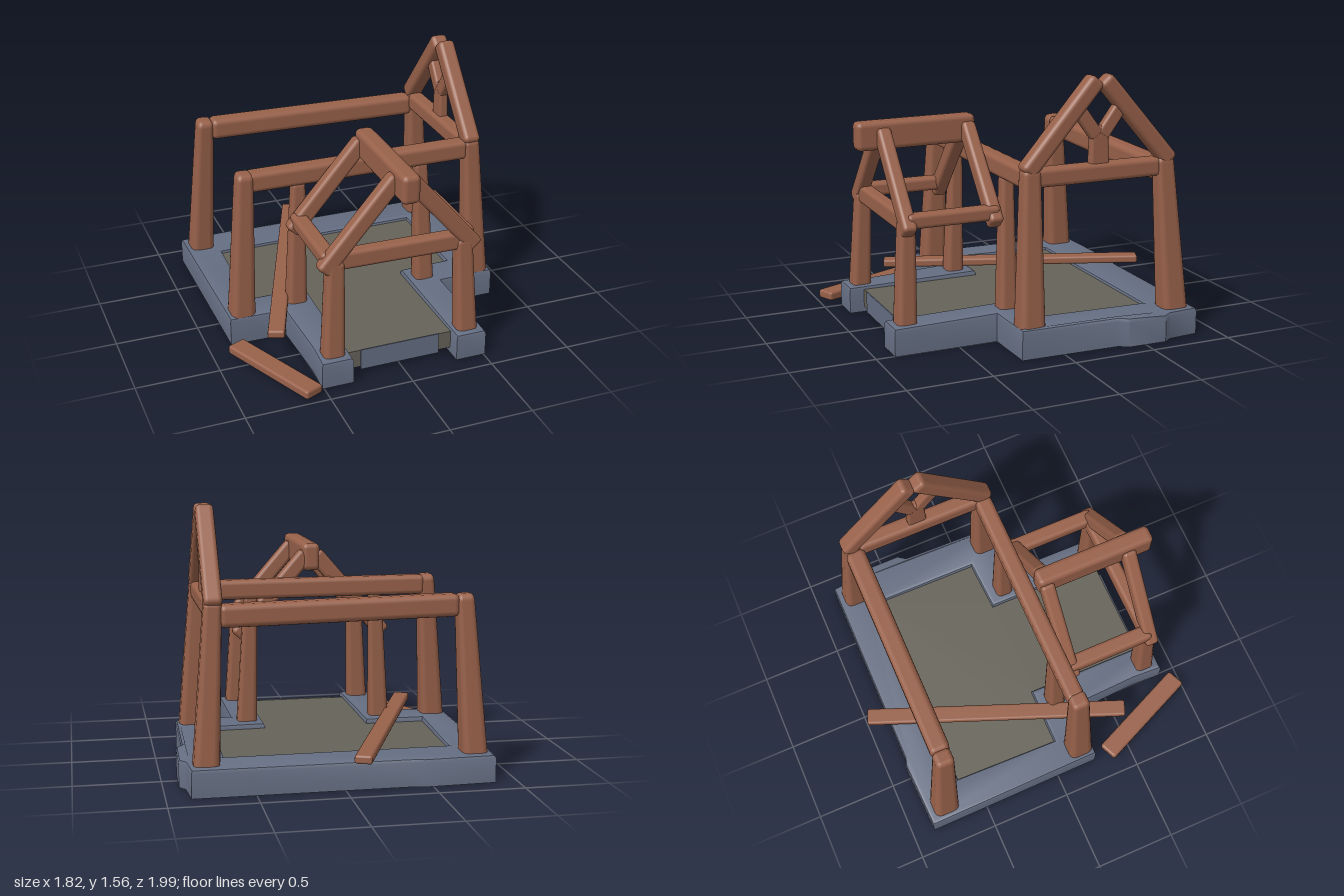
import * as THREE from 'three';
import { toCreasedNormals } from 'three/addons/utils/BufferGeometryUtils.js';
import { RoundedBoxGeometry } from 'three/addons/geometries/RoundedBoxGeometry.js';

const wood = new THREE.MeshStandardMaterial({ color: 0x98614a });
const stone = new THREE.MeshStandardMaterial({ color: 0x656e82, side: THREE.DoubleSide });
const earth = new THREE.MeshStandardMaterial({ color: 0x656258, side: THREE.DoubleSide });
wood.name = 'wood';
stone.name = 'stone';
earth.name = 'earth';

const Z = [0, 0, 1], X = [1, 0, 0], Y = [0, 1, 0];

export function createModel() {
  const model = new THREE.Group();
  model.name = 'houseFrame';

  const add = (name, geometry, material) => {
    const mesh = new THREE.Mesh(geometry, material);
    mesh.name = name;
    model.add(mesh);
    return mesh;
  };

  // Rounded timber from a to b; depth lies along the depthAxis, taper scales the far end
  const beam = (name, a, b, width, depth, depthAxis = Z, taper = 1) => {
    const start = new THREE.Vector3(...a), end = new THREE.Vector3(...b);
    const dir = end.clone().sub(start), length = dir.length();
    dir.normalize();
    const geo = new RoundedBoxGeometry(width, length, depth, 2, Math.min(width, depth) * 0.28);
    const p = geo.attributes.position;
    for (let i = 0; i < p.count; i++) {
      const s = THREE.MathUtils.lerp(1, taper, p.getY(i) / length + 0.5);
      p.setX(i, p.getX(i) * s);
      p.setZ(i, p.getZ(i) * s);
    }
    const side = new THREE.Vector3().crossVectors(dir, new THREE.Vector3(...depthAxis)).normalize();
    const across = new THREE.Vector3().crossVectors(side, dir);
    const mid = start.add(end).multiplyScalar(0.5);
    geo.applyMatrix4(new THREE.Matrix4().makeBasis(side, dir, across).setPosition(mid));
    return add(name, geo, wood);
  };

  // Flat outline given as x, z pairs
  const outline = pts => new THREE.Shape(pts.map(([x, z]) => new THREE.Vector2(x, -z)));

  // Stone foundation kerb, open at the porch front and hollow underneath
  const kerb = new THREE.ExtrudeGeometry(outline([
    [-0.87, -0.865], [-0.45, -0.88], [-0.4, -0.865], [0.86, -0.865], [0.875, -0.68],
    [0.91, -0.63], [0.905, -0.39], [0.87, -0.34], [0.855, 0.26], [0.51, 0.265],
    [0.51, 0.89], [0.325, 0.89], [0.32, -0.045 + 0.1], [0.645, 0.04], [0.65, -0.62],
    [-0.66, -0.61], [-0.68, 0.05], [-0.32, 0.05], [-0.32, 0.89], [-0.51, 0.89],
    [-0.5, 0.7], [-0.52, 0.265], [-0.86, 0.26],
  ]), { depth: 0.14, bevelThickness: 0.024, bevelSize: 0.022, bevelOffset: -0.022, bevelSegments: 2 });
  kerb.rotateX(-Math.PI / 2);
  const src = kerb.attributes.position, kept = [];
  for (let i = 0; i < src.count; i += 3) {
    if (Math.max(src.getY(i), src.getY(i + 1), src.getY(i + 2)) < 0.001) continue;
    for (let j = i; j < i + 3; j++) {
      const x = src.getX(j), y = src.getY(j), z = src.getZ(j);
      const rise = y > 0.1 && z > -0.4 && z < 0.28 ? 0.012 : 0;
      kept.push(x, y + 0.015 + rise, z);
    }
  }
  const kerbShell = new THREE.BufferGeometry();
  kerbShell.setAttribute('position', new THREE.Float32BufferAttribute(kept, 3));
  add('foundationKerb', toCreasedNormals(kerbShell, 0.6), stone);

  // Earth floor with its front edge and the stone doorstep face
  const floor = new THREE.ShapeGeometry(outline([
    [-0.7, -0.64], [0.67, -0.64], [0.67, 0.07], [0.33, 0.07],
    [0.33, 0.8], [-0.33, 0.8], [-0.33, 0.07], [-0.7, 0.07],
  ]));
  floor.rotateX(-Math.PI / 2);
  add('floor', floor, earth).position.y = 0.158;
  add('floorFrontEdge', new THREE.PlaneGeometry(0.65, 0.11), earth).position.set(0, 0.105, 0.8);
  add('doorstepFace', new THREE.BoxGeometry(0.49, 0.13, 0.008), stone).position.set(0, 0.1, 0.804);

  // Main corner posts, leaning inwards
  for (const s of [-1, 1]) {
    beam('frontCornerPost', [s * 0.775, 0.025, 0.18], [s * 0.715, 1.085, 0.155], 0.155, 0.165, Z, 0.64);
    beam('backCornerPost', [s * 0.775, 0.025, -0.755], [s * 0.715, 1.085, -0.69], 0.155, 0.17, Z, 0.64);
  }

  // Main wall beams
  beam('frontWallBeam', [-0.7, 1.02, 0.15], [0.69, 1.015, 0.15], 0.12, 0.105);
  beam('backWallBeam', [-0.68, 1.02, -0.69], [0.68, 0.995, -0.69], 0.13, 0.12);
  beam('sideWallBeam', [0.71, 1.022, 0.14], [0.71, 1.022, -0.66], 0.11, 0.1, X);

  // Side gable with its forked brace
  beam('gableRafterFront', [0.715, 1.05, 0.185], [0.715, 1.555, -0.25], 0.1, 0.105, X);
  beam('gableRafterBack', [0.715, 1.05, -0.73], [0.715, 1.555, -0.29], 0.1, 0.105, X);
  beam('braceStem', [0.715, 1.06, -0.27], [0.715, 1.29, -0.27], 0.12, 0.06, X, 0.85);
  for (const s of [-1, 1])
    beam('braceArm', [0.715, 1.23, -0.27 + s * 0.015], [0.715, 1.4, -0.27 + s * 0.14], 0.08, 0.06, X);

  // Porch posts, rails and rafters
  for (const s of [-1, 1]) {
    beam('porchFrontPost', [s * 0.42, 0.025, 0.8], [s * 0.39, 0.77, 0.77], 0.135, 0.125, Z, 0.75);
    beam('porchBackPost', [s * 0.425, 0.025, 0.17], [s * 0.39, 0.98, 0.155], 0.13, 0.12, Z, 0.62);
    beam('porchSideRail', [s * 0.42, 0.77, 0.22], [s * 0.42, 0.77, 0.78], 0.085, 0.095, X);
    for (const z of [0.775, 0.25])
      beam('porchRafter', [s * 0.465, 0.705, z], [s * 0.025, 1.215, z], 0.1, 0.085);
  }
  beam('porchTieBeam', [-0.4, 0.76, 0.765], [0.4, 0.75, 0.765], 0.11, 0.085);
  beam('porchRidgeBeam', [0, 1.195, 0.2], [0, 1.19, 0.935], 0.17, 0.11, X);

  // Fallen timbers
  beam('fallenLongBeam', [-0.67, 0.21, 0.55], [-0.07, 0.22, -0.985], 0.1, 0.05, Y);
  beam('fallenShortPlank', [-0.86, 0.065, 0.35], [-0.585, 0.065, 0.975], 0.12, 0.055, Y);

  return model;
}
